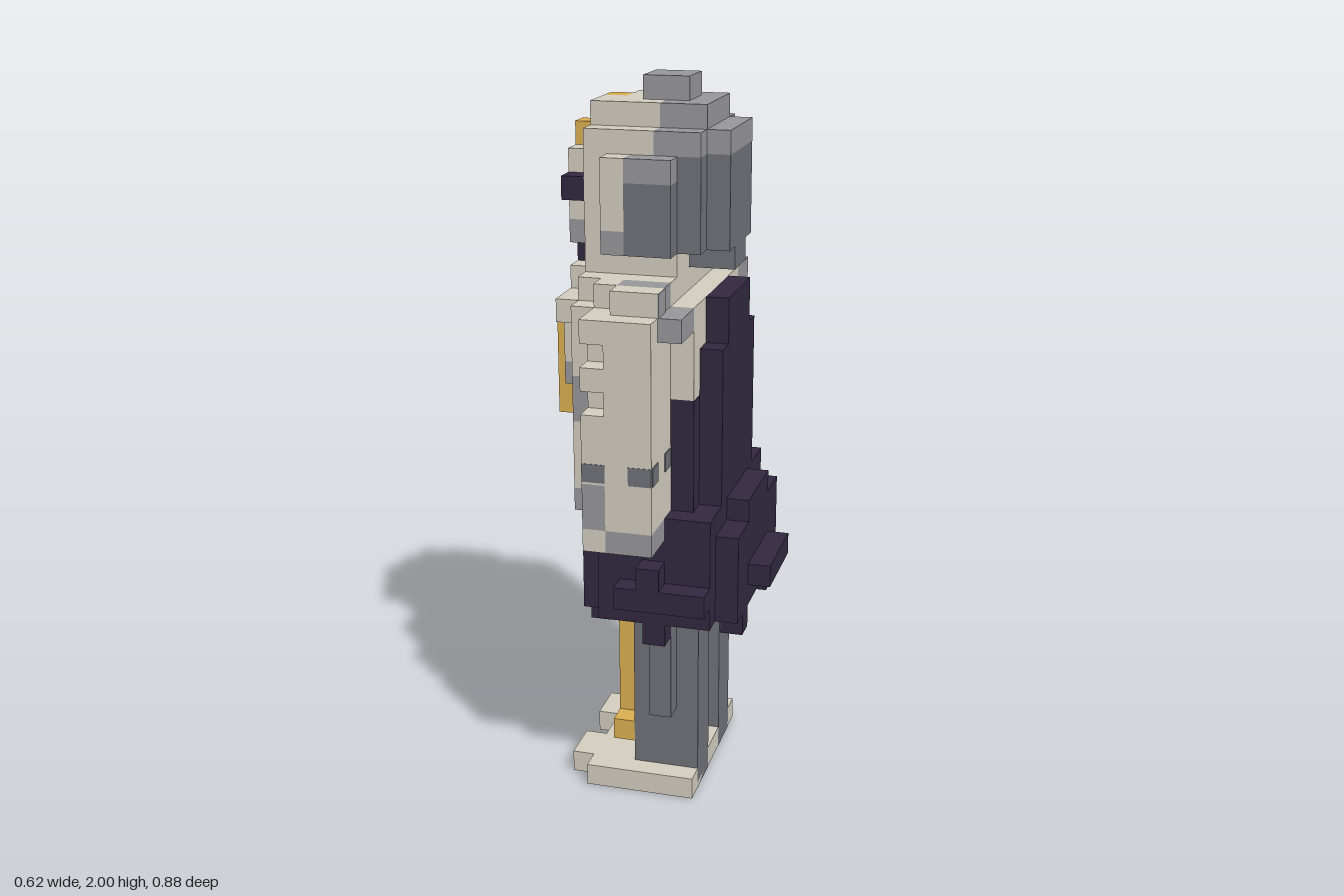
import * as THREE from 'three';

const U = 0.0625; // one block

export function createModel() {
  const model = new THREE.Group();
  const mat = (name, color) => {
    const m = new THREE.MeshStandardMaterial({ color });
    m.name = name;
    return m;
  };
  const cream = mat('cream', 0xd2ccbe), grey = mat('light grey', 0x96969a);
  const slate = mat('slate', 0x6f7078), dark = mat('dark violet', 0x31273f);
  const gold = mat('gold', 0xd9ae50);

  // block given by its limits in block units
  const box = (name, m, x0, x1, y0, y1, z0, z1) => {
    const mesh = new THREE.Mesh(new THREE.BoxGeometry((x1 - x0) * U, (y1 - y0) * U, (z1 - z0) * U), m);
    mesh.position.set((x0 + x1) / 2 * U, (y0 + y1) / 2 * U, (z0 + z1) / 2 * U);
    mesh.name = name;
    model.add(mesh);
  };
  const pair = (name, m, x0, x1, y0, y1, z0, z1) => {
    box(name, m, x0, x1, y0, y1, z0, z1);
    box(name, m, x0, x1, y0, y1, -z1, -z0);
  };

  // shoes and base
  box('base', cream, -3, 2, 0, 1, -4, 4);
  pair('toe', cream, -4, -3, 0, 1, 1, 3);

  // legs, with gold stripes down the shins
  pair('leg', slate, -1, 2, -0.02, 9, 1, 3);
  pair('trouserSide', slate, 0, 1, 4, 9, 3, 4);
  box('crotch', slate, 0, 1, 4, 9, -1, 1);
  for (const z of [-3, 1]) {
    box('shinStripe', gold, -2, -1, 2, 8, z, z + 1);
    box('shinStripeEnd', gold, -2, -1, 2, 3, z + 1, z + 2);
  }

  // coat skirt
  box('skirt', dark, -2, 3, 9, 13, -5, 5);
  box('skirtFront', dark, -3, -2, 9, 13, -4, 4);
  box('skirtBack', dark, 3, 4, 9, 13, -4, 4);
  box('skirtBackTop', dark, 1, 3, 13, 14, -5, 5);
  box('skirtBackRidge', dark, 3, 4, 13, 14, -2, 2);
  box('backBelt', dark, 4, 5, 10, 11, -2, 2);
  pair('skirtFlare', dark, -1, 3, 10, 11, 5, 6);
  pair('skirtFlareTop', dark, 0, 1, 11, 12, 5, 6);
  pair('skirtFringe', dark, -3, -2, 8, 9, 2, 3);
  pair('skirtFringe', dark, 0, 1, 8, 9, 4, 5);
  pair('skirtFringe', dark, 3, 4, 8, 9, 2, 3);

  // torso and chest
  box('torso', cream, -3, 1, 13, 23, -4, 4);
  box('upperBack', cream, 1, 2, 19, 23, -4, 4);
  box('collar', cream, -3, 1, 23, 24, -4, 4);
  box('chestUpper', cream, -4, -3, 20, 22, -2, 3);
  box('chestBand', grey, -4, -3, 19, 20, -2, 3);
  box('chestLower', cream, -4, -3, 15, 19, -2, 0);
  box('belly', grey, -4, -3, 14, 15, -2, 2);
  box('bellyTop', cream, -4, -3, 15, 16, 0, 2);
  box('chestTop', cream, -4, -3, 22, 23, 1, 4);
  box('chestTopInner', cream, -4, -3, 23, 24, 1, 2);

  // cape on the back
  box('capeLower', dark, 1, 2, 14, 19, -4, 4);
  box('capeMiddle', dark, 2, 3, 14, 21, -3, 3);
  box('capeTop', dark, 2, 3, 21, 23, -2, 2);

  // gold cord looping over the chest
  box('cordBand', gold, -4, -3, 22, 23, -4, 0);
  box('cordKnot', gold, -4, -3, 22, 24, 0, 1);
  box('cordTop', gold, -5, -4, 21, 22, -1, 1);
  box('cordSide', gold, -5, -4, 18, 21, 0, 1);
  box('cordBottom', gold, -5, -4, 17, 18, -1, 1);
  box('cordInner', gold, -4, -3, 17, 19, 0, 1);
  box('cordTassel', gold, -2.3, -2, 14, 21, -5, -4);

  // arms, with a notched front edge
  pair('arm', cream, -1, 1, 14, 23, 4, 7);
  pair('armFront', cream, -2, -1, 16, 23, 4, 6);
  for (const [y0, y1] of [[16, 19], [20, 21], [22, 23]]) pair('armFrontEdge', cream, -2, -1, y0, y1, 6, 7);
  pair('cuffFront', grey, -2, -1, 14, 16, 4, 7);
  pair('hand', grey, -1, 1, 13, 14, 4, 7);
  pair('handFront', cream, -2, -1, 13, 14, 4, 7);
  box('sleeveCuff', grey, -3, -2, 14, 15, 4, 5);
  box('sleeveLower', cream, -3, -2, 15, 18, 4, 5);
  box('sleeveBand', grey, -3, -2, 18, 20, 4, 5);
  box('sleeveUpper', cream, -3, -2, 20, 23, 4, 5);
  box('sleeveUpper', cream, -3, -2, 21, 23, -5, -4);
  pair('shoulderFront', cream, -2, -1, 23, 24, 4, 5);
  pair('shoulderTop', grey, -1, 1, 23, 24, 4, 5);
  pair('shoulderOuter', cream, -1, 1, 23, 24, 5, 6);
  pair('shoulderPatch', grey, 1, 1.05, 23, 24, 5, 6);
  pair('shoulderBack', grey, 1, 2, 22, 23, 4, 6);
  for (const x of [-2, 0]) pair('sleeveButton', slate, x, x + 1, 16.1, 16.9, 6.9, 7.02);
  for (const z of [4.2, 6.1]) pair('cuffButton', slate, 0.9, 1.05, 16.1, 16.9, z, z + 0.8);

  // head: cream front, grey back
  box('face', cream, -3, -1, 24, 29, -3, 3);
  box('headBack', slate, -1, 2, 25, 29, -3, 3);
  box('neck', cream, -1, 1, 24, 25, -3, 3);
  box('headTopFront', cream, -3, -1, 29, 30, -2, 0);
  box('headTopFront', cream, -3, 0, 29, 30, 0, 3);
  box('headTopFront', cream, -3, -2, 29, 30, -3, -2);
  box('headTopBack', grey, 0, 2, 29, 30, 0, 3);
  box('headTopBack', grey, -1, 2, 29, 30, -2, 0);
  box('headTopBack', grey, -2, 2, 29, 30, -3, -2);
  pair('earFront', cream, -2, -1, 26, 29, 3, 4);
  pair('earFrontLower', grey, -2, -1, 25, 26, 3, 4);
  pair('earBlock', slate, -1, 1, 25, 28, 3, 4);
  pair('earBlockTop', grey, -1, 1, 28, 29, 3, 4);
  box('backPlate', slate, 2, 3, 25, 29, -2, 2);
  box('backPlateTop', grey, 2, 3, 29, 30, -2, 2);
  box('napeBlock', slate, 1, 3, 24, 25, -1, 1);
  box('crownFront', cream, -3, 0, 30, 31, 0, 2);
  box('crownFront', cream, -2, -1, 30, 31, -2, 0);
  box('crownBack', grey, 0, 2, 30, 31, -2, 2);
  box('crownBack', grey, -1, 0, 30, 31, -2, 0);
  box('topKnob', grey, -1, 1, 31, 32, -1, 1);

  // dark visor, cheeks and gold crest
  box('visor', dark, -4, -3, 27, 28, -3, 3);
  box('visorStem', dark, -4, -3, 24, 27, -1, 1);
  box('brow', cream, -4, -3, 28, 29, -2, 0);
  box('brow', cream, -4, -3, 28, 29, 1, 2);
  pair('cheek', cream, -4, -3, 26, 27, 1, 2);
  pair('jaw', grey, -4, -3, 25, 26, 1, 2);
  box('crestUpper', gold, -3, -2, 30, 31, -1, 0);
  box('crestLower', gold, -4, -3, 28, 30, 0, 1);

  return model;
}
